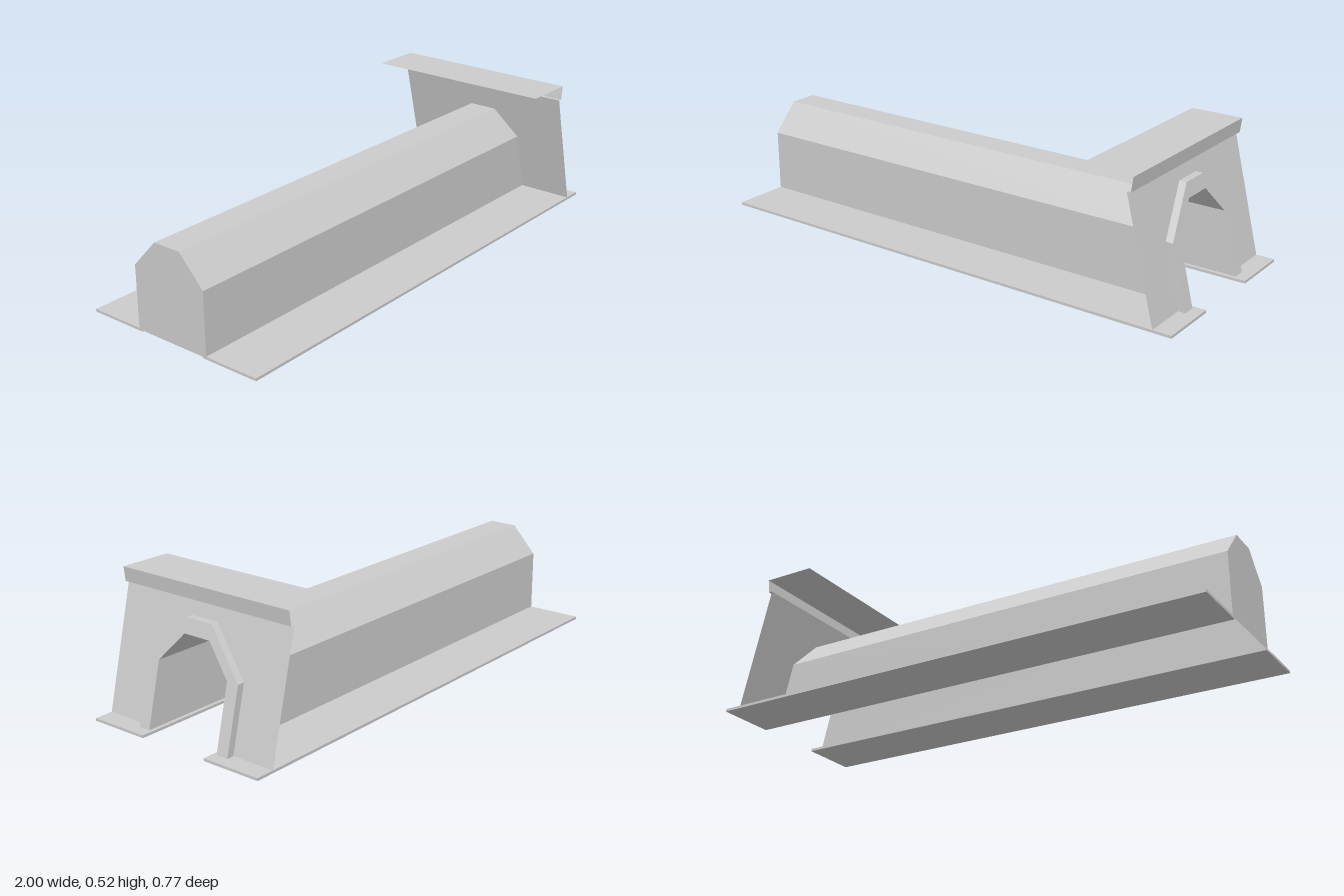
import * as THREE from 'three';

const material = new THREE.MeshStandardMaterial({ color: 0xcccccc, flatShading: true, side: THREE.DoubleSide });
const HALF_WIDTH = 0.383;

// x of the leaning portal wall at height y
const wallX = (y) => 0.93 - 0.25 * y;

// Arch outline as [z, y], from one foot over the crown to the other
const arch = (half, shoulder, crownHalf, crown, foot) => [
  [half, foot], [half, shoulder], [crownHalf, crown],
  [-crownHalf, crown], [-half, shoulder], [-half, foot],
];
const inner = arch(0.16, 0.25, 0.058, 0.36, 0.005);
const outer = arch(0.209, 0.25, 0.058, 0.414, 0.005);

const toShape = (points) => new THREE.Shape(points.map(([z, y]) => new THREE.Vector2(-z, y)));

// Turn a flat (-z, y) geometry to face +x and lean it along the wall
function lean(geometry) {
  const p = geometry.attributes.position;
  for (let i = 0; i < p.count; i++) {
    const a = p.getX(i), y = p.getY(i), depth = p.getZ(i);
    p.setXYZ(i, wallX(y) + depth, y, -a);
  }
  geometry.computeVertexNormals();
  return geometry;
}

// Sheet spanned between two polylines with the same number of points
function sheet(lineA, lineB) {
  const pos = [];
  for (let i = 0; i < lineA.length - 1; i++) {
    const a = lineA[i], b = lineA[i + 1], c = lineB[i + 1], d = lineB[i];
    pos.push(...a, ...b, ...c, ...a, ...c, ...d);
  }
  const g = new THREE.BufferGeometry();
  g.setAttribute('position', new THREE.Float32BufferAttribute(pos, 3));
  g.computeVertexNormals();
  return g;
}

export function createModel() {
  const group = new THREE.Group();
  const add = (name, geometry) => {
    const mesh = new THREE.Mesh(geometry, material);
    mesh.name = name;
    group.add(mesh);
    return mesh;
  };

  // Tunnel shell, open below, running from the back end to the wall
  add('tunnel', sheet(
    inner.map(([z, y]) => [wallX(y), y, z]),
    inner.map(([z, y]) => [-1, y, z]),
  ));

  // Closed far end, facing -x
  const end = add('tunnelEnd', new THREE.ShapeGeometry(toShape(inner)));
  end.rotation.y = -Math.PI / 2;
  end.position.x = -1;

  // Ground strips either side of the passage
  for (const side of [1, -1]) {
    const strip = add(side > 0 ? 'leftGroundStrip' : 'rightGroundStrip',
      new THREE.BoxGeometry(2, 0.01, HALF_WIDTH - 0.145));
    strip.position.set(0, 0.005, side * (HALF_WIDTH + 0.145) / 2);
  }

  // Leaning portal wall with the doorway notched out of its foot
  const wall = toShape([
    [HALF_WIDTH, 0.005], ...inner, [-HALF_WIDTH, 0.005],
    [-HALF_WIDTH, 0.47], [HALF_WIDTH, 0.47],
  ]);
  add('portalWall', lean(new THREE.ShapeGeometry(wall)));

  // Raised frame around the doorway
  const frame = toShape([...outer, ...[...inner].reverse()]);
  add('portalFrame', lean(new THREE.ExtrudeGeometry(frame, { depth: 0.028, bevelEnabled: false })));

  // Canopy: underside lip, front fascia and flat roof in one folded sheet
  const fold = [[wallX(0.47), 0.47], [0.828, 0.47], [0.835, 0.525], [0.63, 0.525]];
  add('canopy', sheet(
    fold.map(([x, y]) => [x, y, HALF_WIDTH]),
    fold.map(([x, y]) => [x, y, -HALF_WIDTH]),
  ));

  return group;
}
